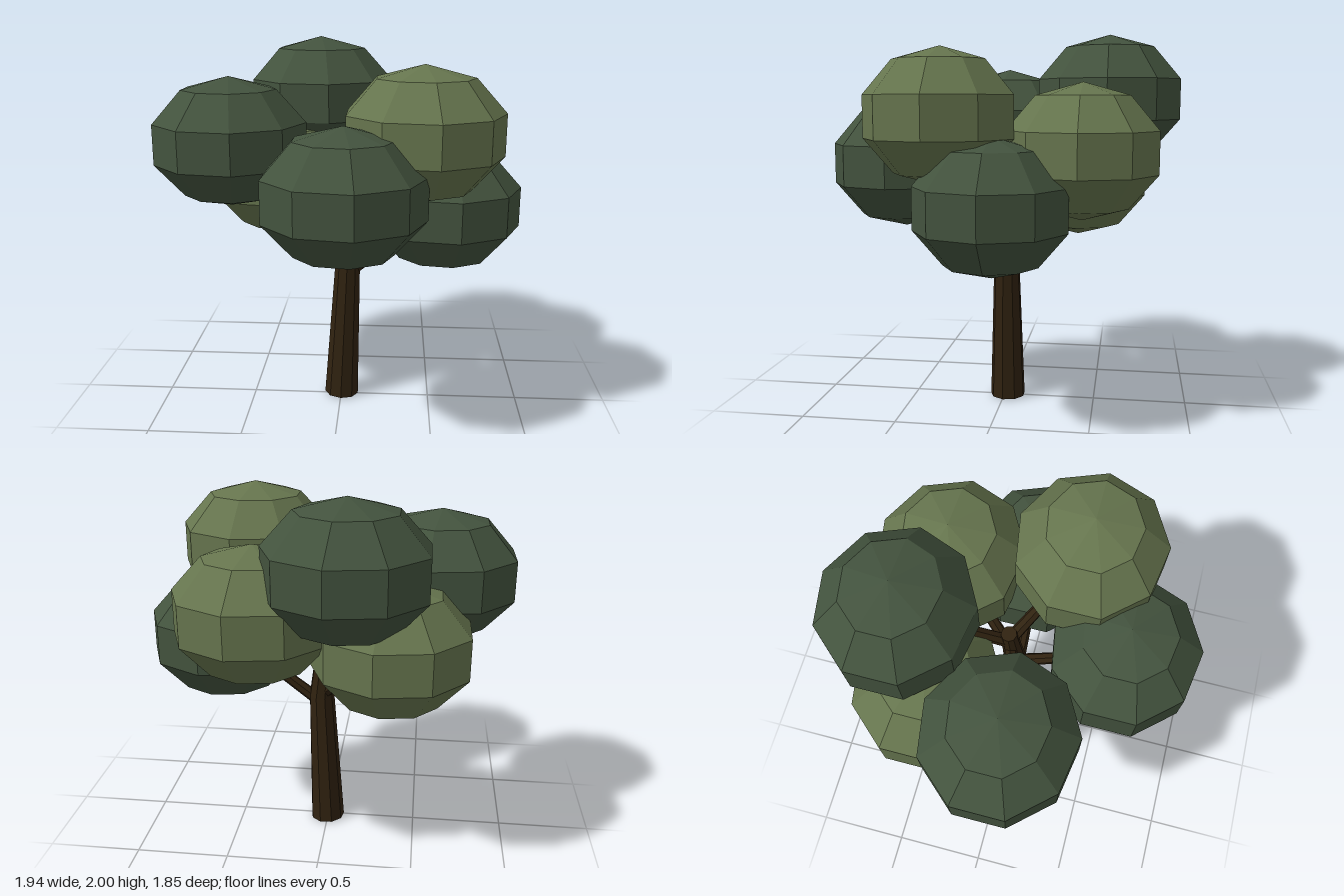
import * as THREE from 'three';

const V = (x, y, z) => new THREE.Vector3(x, y, z);

function material(name, color) {
  const m = new THREE.MeshStandardMaterial({ color, flatShading: true });
  m.name = name;
  return m;
}

// Tapered limb: a cylinder whose rings are moved onto a bent centre line
function limb(name, points, radii, sides, mat) {
  const n = points.length - 1;
  const geo = new THREE.CylinderGeometry(1, 1, n, sides, n);
  const pos = geo.attributes.position;
  const up = V(0, 1, 0);
  const turns = points.map((p, i) => {
    const dir = points[Math.min(i + 1, n)].clone().sub(points[Math.max(i - 1, 0)]).normalize();
    return new THREE.Quaternion().setFromUnitVectors(up, dir);
  });
  const v = V(0, 0, 0);
  for (let i = 0; i < pos.count; i++) {
    const ring = Math.round(pos.getY(i) + n / 2);
    v.set(pos.getX(i), 0, pos.getZ(i)).multiplyScalar(radii[ring]);
    v.applyQuaternion(turns[ring]).add(points[ring]);
    pos.setXYZ(i, v.x, v.y, v.z);
  }
  geo.computeVertexNormals();
  const mesh = new THREE.Mesh(geo, mat);
  mesh.name = name;
  return mesh;
}

export function createModel() {
  const tree = new THREE.Group();
  tree.name = 'tree';
  const bark = material('bark', 0x302210);
  const dark = material('darkLeaves', 0x43533e);
  const light = material('lightLeaves', 0x66754e);

  // Trunk, leaning and then bending back
  tree.add(limb('trunk',
    [V(0.002, 0.006, -0.019), V(0.035, 0.78, -0.017), V(0.012, 1.02, -0.03), V(-0.01, 1.35, -0.05)],
    [0.096, 0.07, 0.058, 0.042], 9, bark));

  // Leaf clumps: centre, colour and the point where their branch leaves the trunk
  const clumps = [
    ['backTop', V(-0.151, 1.655, -0.555), dark, V(-0.01, 1.25, -0.05)],
    ['right', V(-0.587, 1.485, 0.057), dark, V(0, 1.15, -0.04)],
    ['front', V(0.044, 1.31, 0.543), dark, V(0.02, 0.9, -0.02)],
    ['left', V(0.558, 1.135, -0.02), dark, V(0.04, 0.74, -0.02)],
    ['frontLeft', V(0.429, 1.57, 0.257), light, V(-0.005, 1.25, -0.05)],
    ['backLeft', V(0.315, 1.395, -0.44), light, V(0.01, 1.02, -0.03)],
    ['backRight', V(-0.36, 1.22, -0.382), light, V(0.03, 0.79, -0.02)],
  ];

  // One squashed low-poly ball shared by every clump
  const ball = new THREE.SphereGeometry(1, 9, 5).rotateY(Math.PI);
  ball.scale(0.429, 0.345, 0.404);

  for (const [name, centre, mat, start] of clumps) {
    const clump = new THREE.Mesh(ball, mat);
    clump.name = name + 'Leaves';
    clump.position.copy(centre);
    tree.add(clump);
    const end = start.clone().lerp(centre, 0.85);
    tree.add(limb(name + 'Branch', [start, end], [0.036, 0.026], 7, bark));
  }
  return tree;
}
